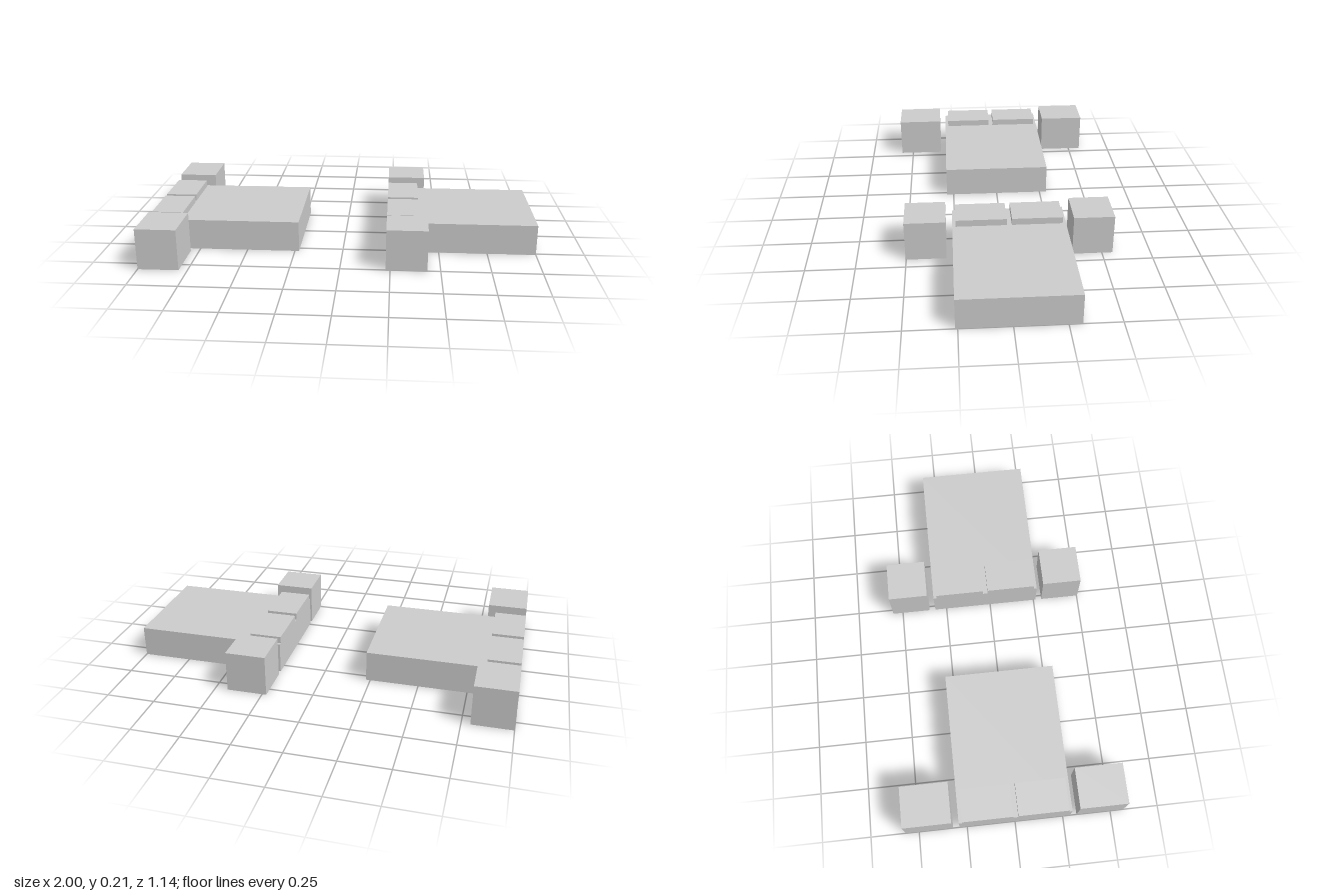
import * as THREE from 'three';

const material = new THREE.MeshStandardMaterial({ color: 0xcccccc, flatShading: true });

// Box given by its lower and upper limits on each axis
function block(name, [x0, x1], [y0, y1], [z0, z1]) {
  const mesh = new THREE.Mesh(new THREE.BoxGeometry(x1 - x0, y1 - y0, z1 - z0), material);
  mesh.name = name;
  mesh.position.set((x0 + x1) / 2, (y0 + y1) / 2, (z0 + z1) / 2);
  return mesh;
}

// Bed with its head at x = 0, two pillows and a nightstand on each side
function createBed(name, length, standInner, standOuter) {
  const bed = new THREE.Group();
  bed.name = name;
  bed.add(block('mattress', [0, length], [0, 0.16], [-0.288, 0.288]));
  for (const [side, s] of [['left', -1], ['right', 1]]) {
    const span = (a, b) => (s > 0 ? [a, b] : [-b, -a]);
    bed.add(block(side + 'Pillow', [0, 0.165], [0.16, 0.195], span(0.013, 0.271)));
    bed.add(block(side + 'Nightstand', [0, 0.206], [0, 0.212], span(standInner, standOuter)));
  }
  return bed;
}

export function createModel() {
  const model = new THREE.Group();
  model.name = 'twinBeds';

  // Bed with the wide nightstands
  const first = createBed('firstBed', 0.772, 0.323, 0.569);
  first.position.set(-1, 0, 0);

  // Bed with the narrow nightstands, set slightly back
  const second = createBed('secondBed', 0.772, 0.321, 0.529);
  second.position.set(0.228, 0, -0.026);

  model.add(first, second);
  return model;
}
